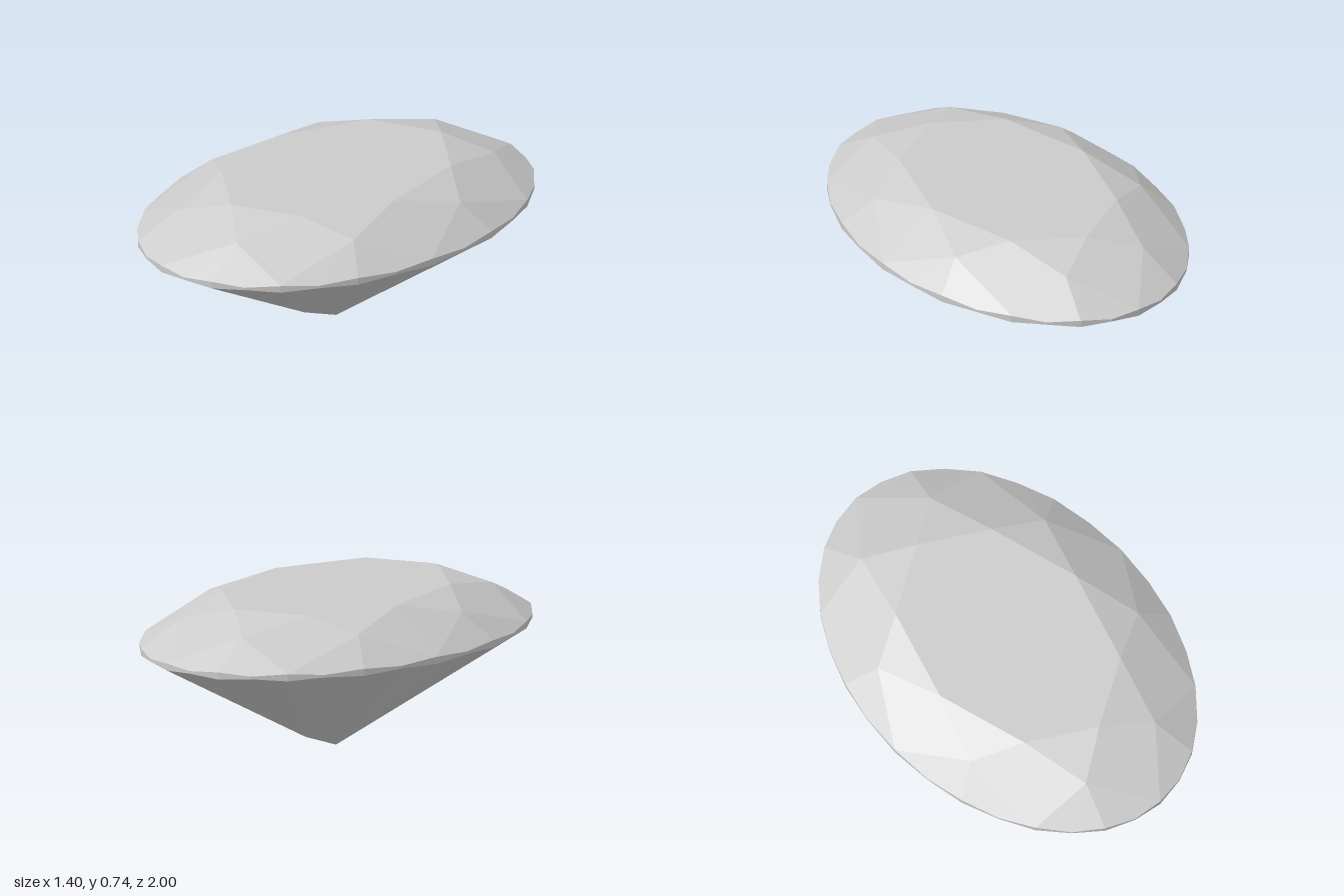
import * as THREE from 'three';

const N = 32;                 // points around the girdle
const HALF_WIDTH = 0.7;       // oval: half width in x, half length 1 in z
const TABLE_Y = 0.738, STAR_Y = 0.674;

// Point on a scaled oval; step j runs from +z towards +x
function oval(j, r, y) {
  const a = (j / N) * Math.PI * 2;
  return [HALF_WIDTH * r * Math.sin(a), y, r * Math.cos(a)];
}

// Scalloped girdle edges: thickest at even steps
const girdleTop = (j) => oval(j, 1, j % 2 ? 0.544 : 0.555);
const girdleBottom = (j) => oval(j, 1, j % 2 ? 0.532 : 0.522);
const table = (i) => oval(4 * i, 0.6, TABLE_Y);
const star = (i) => oval(4 * i + 2, 0.8, STAR_Y);

// Flat facets, each a convex polygon listed counter-clockwise from outside
function facetMesh(name, facets, material) {
  const positions = [];
  for (const f of facets) {
    for (let k = 1; k < f.length - 1; k++) positions.push(...f[0], ...f[k], ...f[k + 1]);
  }
  const geometry = new THREE.BufferGeometry();
  geometry.setAttribute('position', new THREE.Float32BufferAttribute(positions, 3));
  geometry.computeVertexNormals();
  const mesh = new THREE.Mesh(geometry, material);
  mesh.name = name;
  return mesh;
}

export function createModel() {
  const gem = new THREE.Group();
  gem.name = 'ovalGem';
  const material = new THREE.MeshStandardMaterial({ color: 0xcccccc, flatShading: true });

  // Crown: star, kite and upper girdle facets
  const tableFacet = [], stars = [], kites = [], upperGirdle = [];
  for (let i = 0; i < 8; i++) {
    const j = 4 * i;
    tableFacet.push(table(i));
    stars.push([star(i), table(i + 1), table(i)]);
    kites.push([girdleTop(j), star(i), table(i), star(i - 1)]);
    for (const s of [j, j + 2]) {
      upperGirdle.push([star(i), girdleTop(s), girdleTop(s + 1), girdleTop(s + 2)]);
    }
  }
  gem.add(facetMesh('table', [tableFacet], material));
  gem.add(facetMesh('starFacets', stars, material));
  gem.add(facetMesh('kiteFacets', kites, material));
  gem.add(facetMesh('upperGirdleFacets', upperGirdle, material));

  // Girdle band
  const band = [];
  for (let j = 0; j < N; j++) {
    band.push([girdleBottom(j), girdleBottom(j + 1), girdleTop(j + 1), girdleTop(j)]);
  }
  gem.add(facetMesh('girdle', band, material));

  // Pavilion: the sides fan from the culet, the ends from the tips of a short keel
  const culet = [0, 0, 0];
  const apexes = [[0, 0.068, 0.18], culet, [0, 0.068, -0.18], culet];
  const pavilion = [];
  for (let q = 0; q < 4; q++) {
    const apex = apexes[q], next = apexes[(q + 1) % 4];
    for (let j = 8 * q - 4; j < 8 * q + 4; j += 2) {
      pavilion.push([apex, girdleBottom(j + 2), girdleBottom(j + 1), girdleBottom(j)]);
    }
    pavilion.push([apex, next, girdleBottom(8 * q + 4)]);
  }
  gem.add(facetMesh('pavilion', pavilion, material));

  return gem;
}
